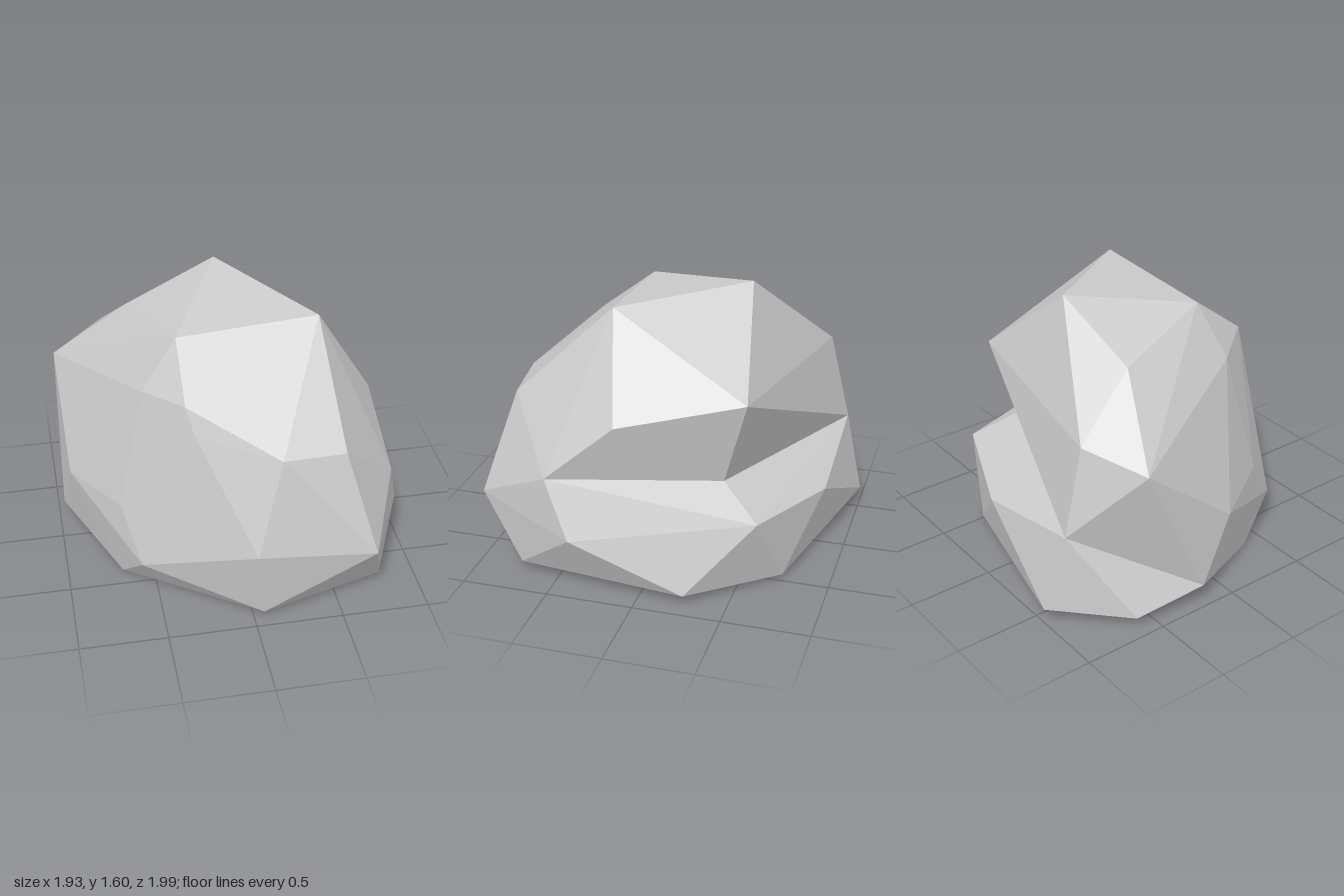
import * as THREE from 'three';
import { ConvexGeometry } from 'three/addons/geometries/ConvexGeometry.js';

const material = new THREE.MeshStandardMaterial({ color: 0xcccccc, flatShading: true });

// A faceted lump of stone wrapped around its corner points.
function lump(name, ...groups) {
  const points = groups.flat().map((p) => new THREE.Vector3(...p));
  const mesh = new THREE.Mesh(new ConvexGeometry(points), material);
  mesh.name = name;
  return mesh;
}

// Corners where the upper boulder meets the base.
const seam = [
  [0.68, 0.42, 0.99], [0.87, 0.65, 0.54], [0.55, 0.615, -0.4], [-0.64, 0.55, -0.89],
  [-0.97, 0.12, -0.19], [-0.59, 0.23, 0.63], [-0.68, 0, 0.38], [0.06, 0.03, 0.92],
];

// Peak and overhanging shoulders.
const crown = [
  [0.48, 1.54, 0.25], [0.01, 1.6, -0.42], [-0.32, 1.485, 0.26], [-0.52, 1.36, -0.38],
  [0.62, 1.11, -0.54], [-0.63, 1.06, -0.77], [-0.95, 0.96, -0.57], [0.82, 0.98, 0.15],
];

// Front and left-hand slopes.
const slopes = [
  [0.52, 1.0, 0.82], [0.16, 1.02, 0.86], [-0.32, 1.24, 0.58], [-0.28, 1.09, 0.65],
  [-0.52, 1.2, 0.32], [-0.66, 0.84, 0.22], [-0.68, 0.52, 0.42], [-0.93, 0.49, 0.02],
  [0.01, 0.475, 0.98],
];

// Projecting ledge at the side and back, with the foot beneath it.
const ledge = [[0.96, 0.33, 0.38], [0.72, 0.46, -0.63], [0.1, 0.41, -0.89]];
const foot = [
  [0.78, 0.05, 0.73], [0.9, 0.055, -0.26], [0.48, 0.03, -0.73],
  [-0.58, 0.09, -1.0], [-0.92, 0.06, -0.62],
];

export function createModel() {
  const rock = new THREE.Group();
  rock.name = 'rock';
  rock.add(lump('upperBoulder', seam, crown, slopes));
  rock.add(lump('baseLedge', seam, ledge, foot));
  return rock;
}
